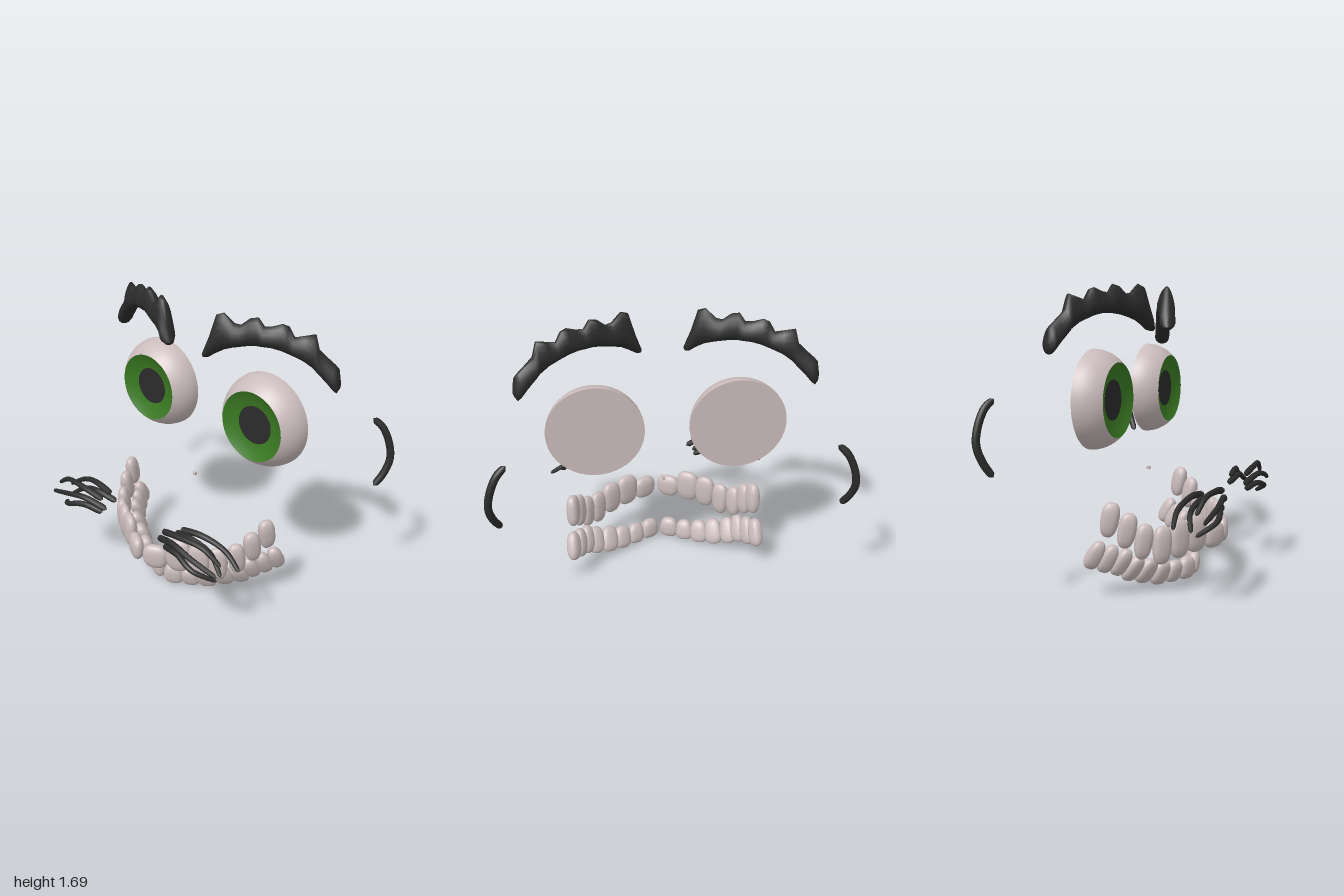
import * as THREE from 'three';

const V = (p) => new THREE.Vector3(...p);

// Copy of a geometry mirrored across x = 0, with the winding kept outward
function mirrored(geo) {
  const g = geo.clone();
  g.scale(-1, 1, 1);
  const idx = g.index.array;
  for (let i = 0; i < idx.length; i += 3) [idx[i], idx[i + 1]] = [idx[i + 1], idx[i]];
  return g;
}

// Tube along a smooth path, its radius following a rule of t (0..1)
function strand(points, radius, rule, segs = 28, sides = 10) {
  const curve = new THREE.CatmullRomCurve3(points.map(V));
  const g = new THREE.TubeGeometry(curve, segs, radius, sides);
  const pos = g.attributes.position;
  const v = new THREE.Vector3();
  for (let i = 0; i <= segs; i++) {
    const c = curve.getPointAt(i / segs);
    for (let j = 0; j <= sides; j++) {
      const k = i * (sides + 1) + j;
      v.fromBufferAttribute(pos, k).sub(c).multiplyScalar(rule(i / segs)).add(c);
      pos.setXYZ(k, v.x, v.y, v.z);
    }
  }
  return g;
}
const roundEnds = (t) => Math.min(1, Math.sqrt(Math.max(0, 1 - Math.pow(Math.abs(2 * t - 1), 16))));
const tapered = (t) => roundEnds(t) * (1.05 - 0.4 * t);

// Rounded tooth: a squared-off sphere, narrower toward its root
function toothGeometry(w, h, d, rootUp) {
  const g = new THREE.SphereGeometry(1, 20, 16);
  const pos = g.attributes.position;
  const sq = (a, e) => Math.sign(a) * Math.pow(Math.abs(a), e);
  for (let i = 0; i < pos.count; i++) {
    const y = sq(pos.getY(i), 0.8);
    const taper = 1 - 0.1 * y * rootUp;
    pos.setXYZ(i, sq(pos.getX(i), 0.75) * taper * w / 2, y * h / 2, sq(pos.getZ(i), 0.85) * d / 2);
  }
  g.computeVertexNormals();
  return g;
}

// Brow lofted from oval sections: [x, lower edge, upper edge]
function browGeometry() {
  const st = [
    [.12, 1.455, 1.46], [.13, 1.44, 1.49], [.155, 1.445, 1.56], [.19, 1.47, 1.685], [.23, 1.495, 1.70],
    [.28, 1.515, 1.65], [.315, 1.525, 1.645], [.36, 1.535, 1.685], [.4, 1.54, 1.695], [.43, 1.54, 1.65],
    [.47, 1.54, 1.655], [.52, 1.53, 1.675], [.55, 1.52, 1.665], [.58, 1.51, 1.61], [.63, 1.49, 1.625],
    [.68, 1.455, 1.64], [.7, 1.435, 1.56], [.75, 1.385, 1.515], [.78, 1.35, 1.49], [.8, 1.335, 1.47],
    [.812, 1.36, 1.40]];
  const n = 16, pos = [], idx = [];
  st.forEach(([x, lo, hi], i) => {
    const depth = 0.042 * Math.min(1, 0.2 + (hi - lo) / 0.14);
    for (let j = 0; j < n; j++) {
      const a = (j / n) * Math.PI * 2, s = Math.sin(a);
      const thick = depth * (1 - 0.35 * s);
      pos.push(x + 0.4 * thick * Math.cos(a), (lo + hi) / 2 + s * (hi - lo) / 2, 0.11 - 0.43 * x + thick * Math.cos(a));
      if (i < st.length - 1) {
        const a0 = i * n + j, a1 = i * n + (j + 1) % n;
        idx.push(a0, a0 + n, a1, a1, a0 + n, a1 + n);
      }
    }
  });
  // end caps
  const last = (st.length - 1) * n;
  for (let j = 1; j < n - 1; j++) idx.push(0, j, j + 1, last, last + j + 1, last + j);
  const g = new THREE.BufferGeometry();
  g.setAttribute('position', new THREE.Float32BufferAttribute(pos, 3));
  g.setIndex(idx);
  g.computeVertexNormals();
  return g;
}

export function createModel() {
  const root = new THREE.Group();
  const mat = (name, color) => Object.assign(new THREE.MeshStandardMaterial({ color }), { name });
  const ivory = mat('ivory', 0xcbbcbc);
  const green = mat('irisGreen', 0x3a7a22);
  const black = mat('black', 0x2b2b2b);

  const add = (name, geo, material) => {
    const m = new THREE.Mesh(geo, material);
    m.name = name;
    root.add(m);
  };
  const pair = (name, geo, material) => {
    add('left' + name, geo, material);
    add('right' + name, mirrored(geo), material);
  };

  // Eyes: truncated dome, flat back, dished iris and flat pupil
  const place = (g) => g.translate(0.4, 1.075, -0.18);
  const dome = [];
  for (let i = 0; i <= 10; i++) {
    const t = (i / 10) * 0.73;
    dome.push(new THREE.Vector2(0.275 * Math.cos(t), 0.225 * Math.sin(t)));
  }
  const iris = [[.205, .15], [.175, .134], [.14, .122], [.11, .116]].map((p) => new THREE.Vector2(...p));
  pair('Eyeball', place(new THREE.LatheGeometry(dome, 48).rotateX(Math.PI / 2)), ivory);
  pair('EyeBack', place(new THREE.CircleGeometry(0.275, 48).rotateY(Math.PI)), ivory);
  pair('Iris', place(new THREE.LatheGeometry(iris, 48).rotateX(Math.PI / 2)), green);
  pair('Pupil', place(new THREE.CircleGeometry(0.112, 40).translate(0, 0, 0.117)), black);

  pair('Eyebrow', browGeometry(), black);

  // Ear arcs
  pair('Ear', strand([[.87, 1.11, -.515], [.92, 1.065, -.54], [.963, .97, -.557], [.978, .88, -.557],
    [.962, .79, -.53], [.93, .715, -.492]], 0.021, roundEnds), black);

  // Whiskers
  [
    [[.28, .57, .41], [.43, .585, .395], [.57, .54, .37], [.685, .465, .385]],
    [[.24, .53, .405], [.38, .56, .43], [.51, .52, .42], [.62, .44, .46]],
    [[.24, .59, .51], [.38, .615, .52], [.54, .61, .51], [.65, .54, .495]],
    [[.21, .535, .51], [.36, .575, .55], [.5, .55, .56], [.66, .50, .54]],
    [[.25, .5, .51], [.38, .515, .54], [.5, .48, .56], [.61, .42, .48]],
  ].forEach((p, i) => pair('Whisker' + (i + 1), strand(p, 0.019, tapered), black));

  // Teeth from the middle outward: [x, y, z, width, height, lean]
  const upper = [
    [.08, .295, .41, .15, .15, 0], [.2, .325, .345, .15, .21, 0], [.305, .315, .285, .13, .215, 0],
    [.395, .295, .22, .11, .215, .05], [.465, .325, .14, .1, .2, .15], [.515, .39, .065, .1, .2, .2],
    [.55, .45, -.02, .1, .195, .2]];
  const lower = [
    [.065, .078, .245, .12, .135, .1], [.16, .08, .2, .11, .135, .3], [.25, .092, .155, .115, .15, .4],
    [.335, .122, .105, .115, .165, .55], [.42, .155, .06, .1, .17, .6], [.475, .2, .015, .09, .175, .55],
    [.52, .225, -.045, .09, .175, .5], [.56, .25, -.105, .09, .175, .5]];
  const teeth = (name, row, rootUp) => row.forEach(([x, y, z, w, h, lean], i) => {
    const a = row[Math.max(0, i - 1)], b = row[Math.min(row.length - 1, i + 1)];
    const g = toothGeometry(w, h, 0.075, rootUp);
    g.rotateY(Math.atan2(a[2] - b[2], b[0] - a[0])).rotateX(lean).translate(x, y, z);
    pair(name + (i + 1), g, ivory);
  });
  teeth('UpperTooth', upper, -0.5);
  teeth('LowerTooth', lower, 1);

  // Small block at the centre of the face
  add('centreBlock', new THREE.BoxGeometry(0.018, 0.018, 0.018).translate(0, 0.638, -0.015), ivory);
  return root;
}
